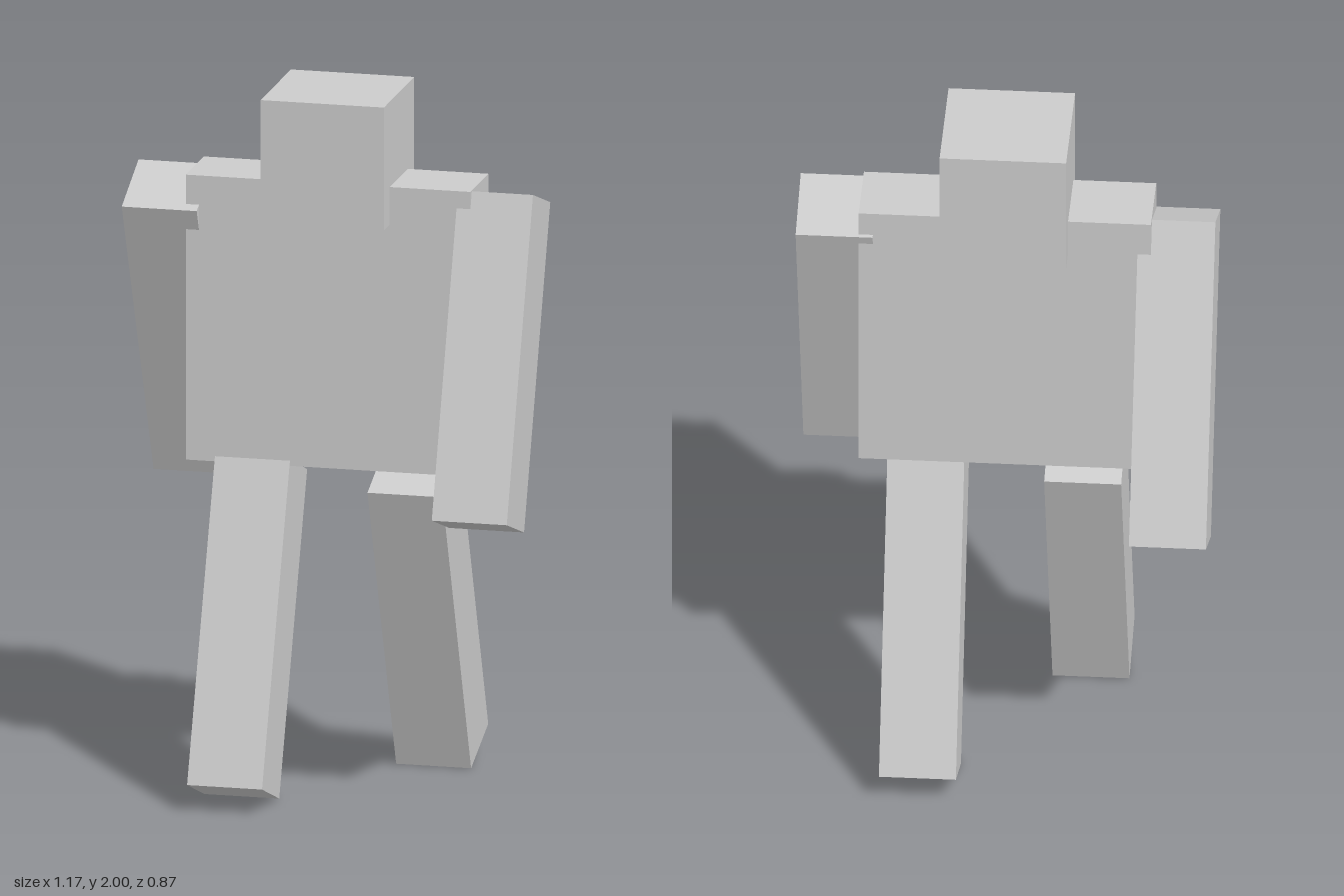
import * as THREE from 'three';

const material = new THREE.MeshStandardMaterial({ color: 0xcccccc, flatShading: true });

// Box part with a centre, a size and a swing (radians) about the x axis
function block(name, size, position, swing = 0) {
  const mesh = new THREE.Mesh(new THREE.BoxGeometry(...size), material);
  mesh.name = name;
  mesh.position.set(...position);
  mesh.rotation.x = swing;
  return mesh;
}

export function createModel() {
  const figure = new THREE.Group();
  figure.name = 'walkingBlockFigure';

  const limb = [0.216, 0.93, 0.216];

  figure.add(
    block('head', [0.355, 0.355, 0.355], [0, 1.8225, 0]),
    block('torso', [0.82, 0.823, 0.211], [0, 1.342, 0.004]),

    // Arms and legs swing in opposite directions, mid-stride
    block('leftArm', limb, [0.478, 1.277, 0.145], -0.338),
    block('rightArm', limb, [-0.48, 1.275, -0.15], 0.415),
    block('leftLeg', limb, [0.222, 0.473, -0.157], 0.371),
    block('rightLeg', limb, [-0.218, 0.474, 0.172], -0.361),
  );

  return figure;
}
